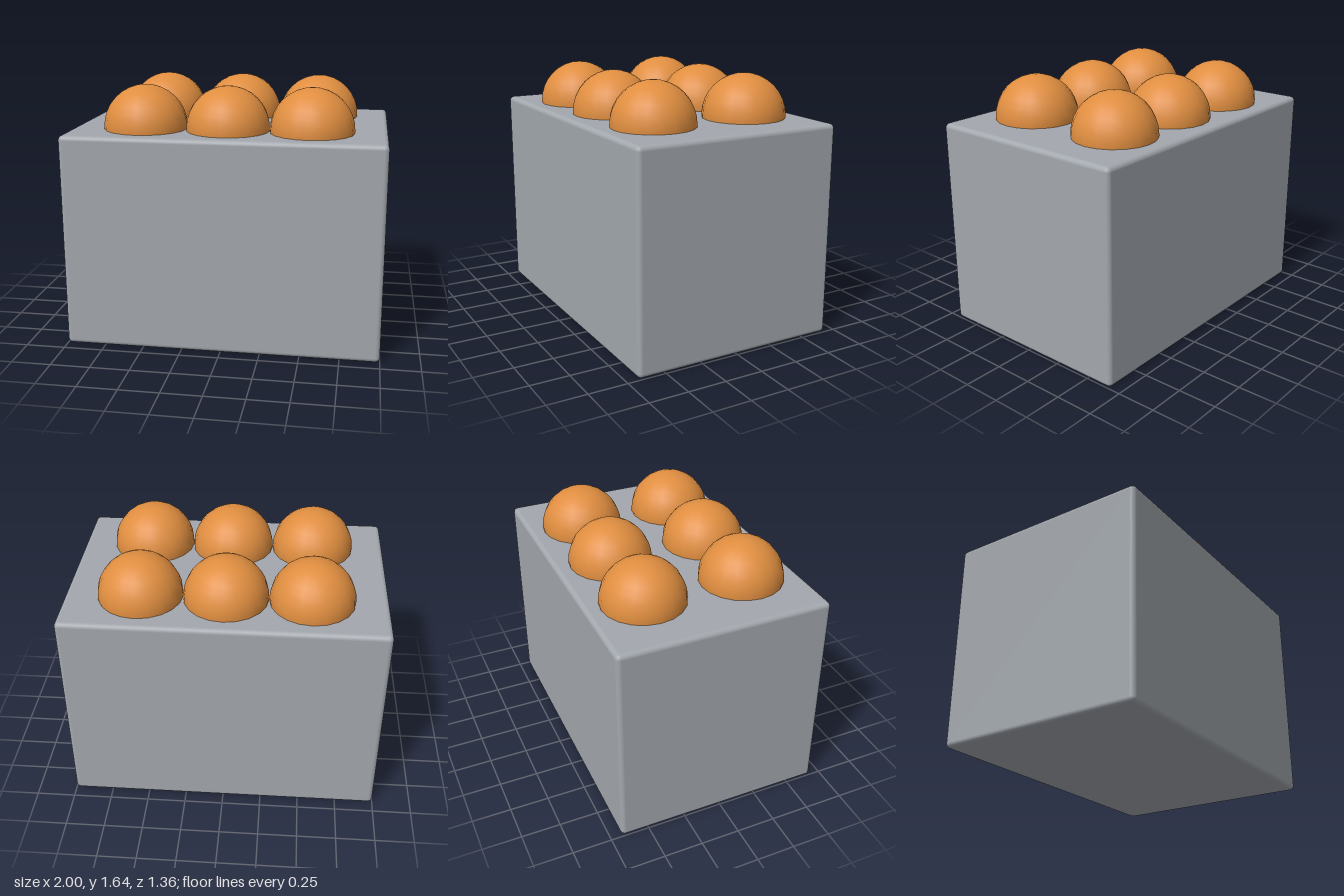
import * as THREE from 'three';
import { RoundedBoxGeometry } from 'three/addons/geometries/RoundedBoxGeometry.js';

export function createModel() {
  const model = new THREE.Group();
  model.name = 'boxWithSixDomes';

  const grey = new THREE.MeshStandardMaterial({ color: 0xa3a8ae });
  grey.name = 'casing grey';
  const orange = new THREE.MeshStandardMaterial({ color: 0xe08e40 });
  orange.name = 'copper orange';

  // Casing with softly rounded edges
  const height = 1.365;
  const casing = new THREE.Mesh(new RoundedBoxGeometry(2, height, 1.36, 4, 0.03), grey);
  casing.name = 'casing';
  casing.position.y = height / 2;
  model.add(casing);

  // Two rows of three balls, sunk halfway into the top
  const ballGeometry = new THREE.SphereGeometry(0.265, 20, 16);
  const balls = new THREE.Group();
  balls.name = 'balls';
  for (const z of [-0.325, 0.325]) {
    for (const x of [-0.53, 0, 0.53]) {
      const ball = new THREE.Mesh(ballGeometry, orange);
      ball.name = 'ball';
      ball.position.set(x, 1.38, z);
      balls.add(ball);
    }
  }
  model.add(balls);

  return model;
}
